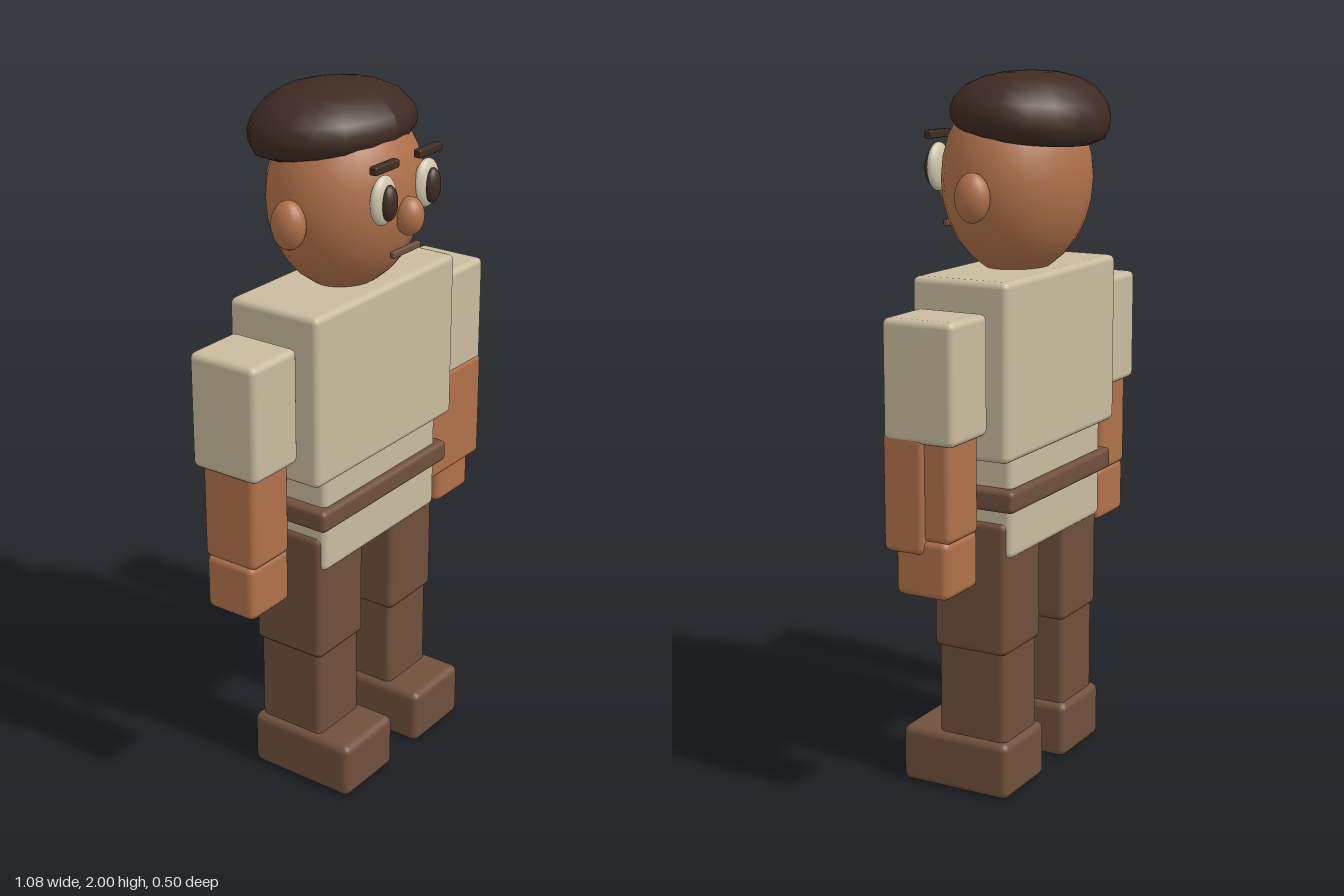
import * as THREE from 'three';
import { RoundedBoxGeometry } from 'three/addons/geometries/RoundedBoxGeometry.js';

function material(name, color) {
  const m = new THREE.MeshStandardMaterial({ color });
  m.name = name;
  return m;
}

export function createModel() {
  const model = new THREE.Group();
  model.name = 'blockMan';

  const cloth = material('cream cloth', 0xcabb9f);
  const skin = material('skin', 0xb0714a);
  const brown = material('brown leather', 0x70503c);
  const dark = material('dark hair', 0x3f2b22);
  const eyeWhite = material('eye white', 0xcfc6ae);

  const add = (name, geometry, mat, x, y, z, parent = model) => {
    const mesh = new THREE.Mesh(geometry, mat);
    mesh.name = name;
    mesh.position.set(x, y, z);
    parent.add(mesh);
    return mesh;
  };
  // Rounded box given by its [min, max] extents on each axis
  const block = (name, mat, [x0, x1], [y0, y1], [z0, z1], radius = 0.018, parent = model) =>
    add(name, new RoundedBoxGeometry(x1 - x0, y1 - y0, z1 - z0, 2, radius), mat,
      (x0 + x1) / 2, (y0 + y1) / 2, (z0 + z1) / 2, parent);
  const ellipsoid = (name, mat, x, y, z, rx, ry, rz, parent = model, sides = 20) =>
    add(name, new THREE.SphereGeometry(1, sides, 14).scale(rx, ry, rz), mat, x, y, z, parent);

  // Body
  block('chest', cloth, [-0.325, 0.325], [0.98, 1.467], [-0.146, 0.146]);
  block('tunicSkirt', cloth, [-0.27, 0.27], [0.7, 1.06], [-0.128, 0.128]);
  block('belt', brown, [-0.3, 0.3], [0.837, 0.9], [-0.148, 0.148], 0.014);

  // Arms and legs
  for (const [side, s] of [['left', 1], ['right', -1]]) {
    const span = (a, b) => (s > 0 ? [a, b] : [-b, -a]);
    const arm = new THREE.Group();
    arm.name = side + 'Arm';
    block('sleeve', cloth, span(0.354, 0.54), [1.065, 1.39], [-0.107, 0.107], 0.018, arm);
    block('forearm', skin, span(0.37, 0.526), [0.8, 1.09], [-0.086, 0.086], 0.018, arm);
    block('hand', skin, span(0.364, 0.53), [0.647, 0.808], [-0.08, 0.08], 0.02, arm);

    const leg = new THREE.Group();
    leg.name = side + 'Leg';
    block('thigh', brown, span(0.069, 0.28), [0.42, 0.8], [-0.113, 0.115], 0.018, leg);
    block('shin', brown, span(0.078, 0.27), [0.12, 0.45], [-0.106, 0.106], 0.018, leg);
    block('foot', brown, span(0.06, 0.29), [0, 0.165], [-0.122, 0.218], 0.022, leg);
    model.add(arm, leg);
  }

  // Slab held against the left forearm
  block('sidePlate', skin, [0.27, 0.538], [0.765, 1.09], [-0.014, 0.112]);

  // Head
  const head = new THREE.Group();
  head.name = 'head';
  model.add(head);
  ellipsoid('skull', skin, 0, 1.71, 0, 0.24, 0.27, 0.2, head, 28);
  ellipsoid('nose', skin, 0, 1.674, 0.208, 0.041, 0.053, 0.04, head);
  block('mouth', brown, [-0.063, 0.063], [1.57, 1.588], [0.188, 0.204], 0.004, head);
  for (const s of [1, -1]) {
    ellipsoid('ear', skin, s * 0.25, 1.674, 0, 0.042, 0.067, 0.05, head);
    ellipsoid('eye', eyeWhite, s * 0.1, 1.738, 0.193, 0.053, 0.067, 0.022, head);
    ellipsoid('pupil', dark, s * 0.1, 1.734, 0.212, 0.029, 0.048, 0.02, head);
    block('eyebrow', dark, [s * 0.1 - 0.053, s * 0.1 + 0.053], [1.816, 1.839], [0.184, 0.208], 0.005, head);
  }

  // Hair cap: turned profile, squashed front to back, rim dropping towards the back
  const profile = [[0, 1.805], [0.13, 1.806], [0.2, 1.812], [0.237, 1.828], [0.253, 1.855],
    [0.256, 1.885], [0.243, 1.918], [0.208, 1.955], [0.155, 1.98], [0.085, 1.995], [0, 2]];
  const cap = new THREE.LatheGeometry(profile.map(([r, y]) => new THREE.Vector2(r, y)), 18);
  const p = cap.attributes.position;
  for (let i = 0; i < p.count; i++) {
    const z = p.getZ(i) * 0.82 - 0.042;
    const low = THREE.MathUtils.clamp((2 - p.getY(i)) / 0.19, 0, 1);
    p.setZ(i, z);
    p.setY(i, p.getY(i) + low * (0.12 * z + 0.014));
  }
  cap.computeVertexNormals();
  add('hair', cap, dark, 0, 0, 0, head);

  return model;
}
